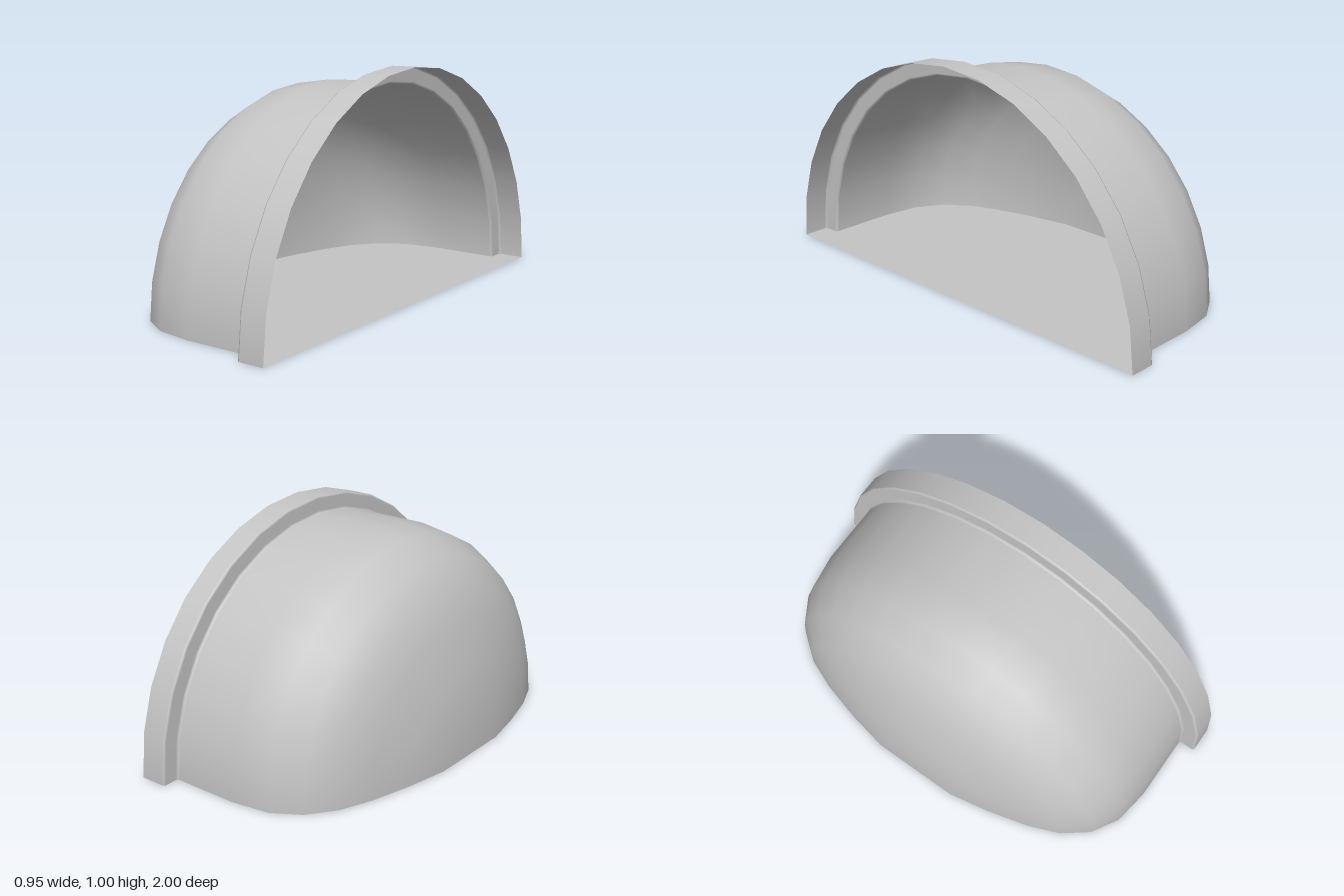
import * as THREE from 'three';

// Half-revolved profile: [position along x, radius], closed end to open rim
const domeProfile = [
  [-0.477, 0], [-0.477, 0.2], [-0.44, 0.39], [-0.39, 0.575], [-0.333, 0.714],
  [-0.246, 0.826], [-0.125, 0.898], [0.045, 0.924], [0.344, 0.924],
];
const stepProfile = [[0.344, 0.924], [0.352, 0.927], [0.355, 0.935], [0.355, 0.99], [0.358, 0.997], [0.364, 1]];
const rimProfile = [[0.364, 1], [0.477, 1]];

export function createModel() {
  const group = new THREE.Group();
  const grey = new THREE.MeshStandardMaterial({ color: 0xc4c4c4, side: THREE.DoubleSide });
  grey.name = 'light grey';

  const add = (name, geometry) => {
    const mesh = new THREE.Mesh(geometry, grey);
    mesh.name = name;
    group.add(mesh);
  };

  // Sweep a profile through the upper half turn around the x axis
  const halfTurn = (profile) => {
    const points = profile.map(([x, r]) => new THREE.Vector2(r, x));
    return new THREE.LatheGeometry(points, 16, Math.PI, Math.PI).rotateZ(-Math.PI / 2);
  };

  // Thin shell: bowl, step and wider collar
  add('domeShell', halfTurn(domeProfile));
  add('rimStep', halfTurn(stepProfile));
  add('rimCollar', halfTurn(rimProfile));

  // Flat floor closing the cut, following the same profile on both sides
  const half = [...domeProfile, ...stepProfile.slice(1), ...rimProfile.slice(1)];
  const outline = [...half, ...half.slice(1).reverse().map(([x, r]) => [x, -r])];
  const shape = new THREE.Shape(outline.map(([x, z]) => new THREE.Vector2(x, z)));
  add('floor', new THREE.ShapeGeometry(shape).rotateX(Math.PI / 2));

  return group;
}
